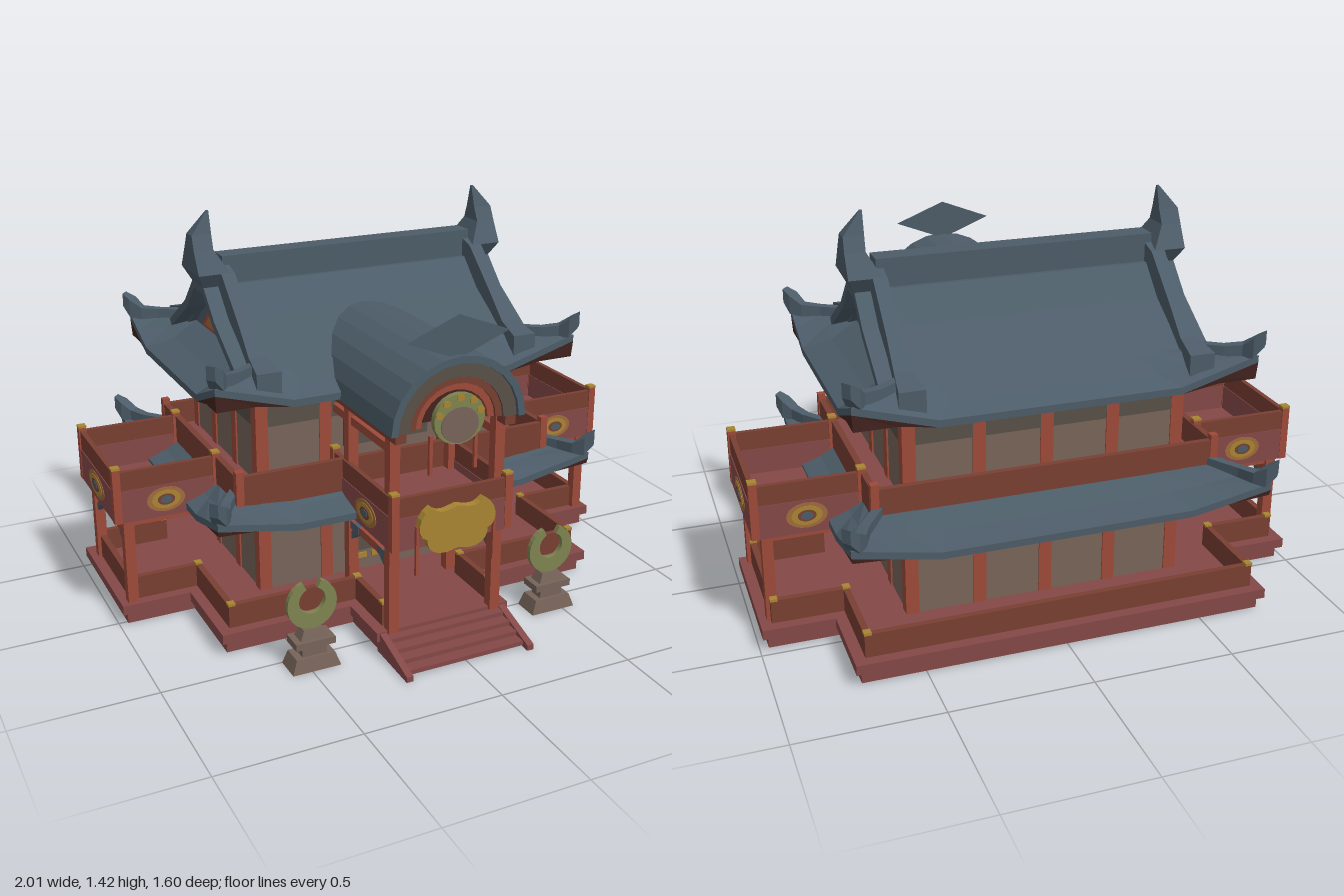
import * as THREE from 'three';

const mat = (name, color, side = THREE.FrontSide) => {
  const m = new THREE.MeshStandardMaterial({ color, side });
  m.name = name;
  return m;
};
const slate = mat('slate', 0x4c5c68, THREE.DoubleSide), red = mat('red timber', 0x9c4a3a);
const plum = mat('plum red', 0x854848), brown = mat('red brown', 0x793f32);
const dark = mat('dark eaves', 0x42241f), taupe = mat('taupe plaster', 0x776459);
const shade = mat('dark plaster', 0x585047), gold = mat('gold', 0xa88532);
const olive = mat('olive bronze', 0x7f8450), orange = mat('orange panel', 0xa06a3c);
const ZC = -0.2; // centre of the main hall in z
const SIDES = [-1, 1];

export function createModel() {
  const root = new THREE.Group();
  root.name = 'templeHall';
  const add = (name, geo, m) => {
    const mesh = new THREE.Mesh(geo, m);
    mesh.name = name;
    root.add(mesh);
  };
  // box given by its extents
  const box = (name, m, x0, x1, y0, y1, z0, z1) => {
    const g = new THREE.BoxGeometry(Math.abs(x1 - x0), y1 - y0, Math.abs(z1 - z0));
    add(name, g.translate((x0 + x1) / 2, (y0 + y1) / 2, (z0 + z1) / 2), m);
  };
  // quads between successive rings of points
  const loft = (rings, caps = false) => {
    const pos = [], n = rings[0].length;
    const tri = (...p) => p.forEach(v => pos.push(...v));
    for (let r = 0; r + 1 < rings.length; r++) for (let i = 0; i < n; i++) {
      const j = (i + 1) % n, a = rings[r], b = rings[r + 1];
      tri(a[i], b[i], b[j]);
      tri(a[i], b[j], a[j]);
    }
    if (caps) {
      const a = rings[0], b = rings[rings.length - 1];
      tri(a[0], a[1], a[2]); tri(a[0], a[2], a[3]);
      tri(b[0], b[2], b[1]); tri(b[0], b[3], b[2]);
    }
    const g = new THREE.BufferGeometry();
    g.setAttribute('position', new THREE.Float32BufferAttribute(pos, 3));
    g.computeVertexNormals();
    return g;
  };
  // bar along points [x, y, z, width, height]
  const bar = (name, pts, m) => add(name, loft(pts.map(([x, y, z, w, h], i) => {
    const a = pts[Math.max(i - 1, 0)], b = pts[Math.min(i + 1, pts.length - 1)];
    const dx = b[0] - a[0], dz = b[2] - a[2], l = Math.hypot(dx, dz);
    const sx = -dz / l * w / 2, sz = dx / l * w / 2;
    return [[x - sx, y - h / 2, z - sz], [x + sx, y - h / 2, z + sz],
      [x + sx, y + h / 2, z + sz], [x - sx, y + h / 2, z - sz]];
  }), true), m);
  // horizontal slab from a plan of [x, z] points
  const toShape = pts => new THREE.Shape(pts.map(([x, z]) => new THREE.Vector2(x, -z)));
  const slab = (name, m, pts, y0, y1, hole) => {
    const s = toShape(pts);
    if (hole) s.holes.push(toShape(hole));
    const g = new THREE.ExtrudeGeometry(s, { depth: y1 - y0, bevelEnabled: false });
    add(name, g.rotateX(-Math.PI / 2).translate(0, y0, 0), m);
  };
  // low wall along a plan polyline
  const rail = (name, m, pts, y0, y1, t = 0.022) => {
    for (let i = 0; i + 1 < pts.length; i++) {
      const [a, b] = [pts[i], pts[i + 1]];
      box(name, m, Math.min(a[0], b[0]) - t / 2, Math.max(a[0], b[0]) + t / 2, y0, y1,
        Math.min(a[1], b[1]) - t / 2, Math.max(a[1], b[1]) + t / 2);
    }
  };
  const rect = (hx, hz, zc = ZC) => [[-hx, zc + hz], [hx, zc + hz], [hx, zc - hz], [-hx, zc - hz]];
  const post = (name, x, z, y0, y1, w = 0.038, m = red) => box(name, m, x - w / 2, x + w / 2, y0, y1, z - w / 2, z + w / 2);
  // oval plate, turned about y
  const oval = (name, m, x, y, z, rx, ry, turn = 0, t = 0.006) => {
    const g = new THREE.CylinderGeometry(1, 1, t, 20).rotateX(Math.PI / 2).scale(rx, ry, 1);
    add(name, g.rotateY(turn).translate(x, y, z), m);
  };

  // Base: cross-shaped plan with open middle
  const plan = e => {
    const p = [[0.24, 0.58], [0.24, 0.365], [0.72, 0.365], [0.72, 0.02], [0.97, 0.02], [0.97, -0.465], [0.72, -0.465], [0.72, -0.768]]
      .map(([x, z]) => [x + e, z > -0.2 ? z + e : z - e]);
    return [...p, ...p.slice().reverse().map(([x, z]) => [-x, z])];
  };
  slab('baseSlab', plum, plan(0), 0.01, 0.055, rect(0.47, 0.31));
  slab('baseFloor', plum, plan(0.02), 0.055, 0.09, rect(0.47, 0.31));
  rail('lowParapet', brown, plan(-0.03), 0.09, 0.175);
  for (const [x, z] of plan(-0.03)) post('parapetCap', x, z, 0.172, 0.182, 0.026, gold);

  // Front steps: open treads between two stringers
  for (let i = 0; i < 4; i++) box('step', plum, -0.225, 0.225, 0.012 + i * 0.016, 0.028 + i * 0.016, 0.715 - i * 0.045, 0.77 - i * 0.045);
  for (const s of SIDES) bar('stepSide', [[s * 0.235, 0.05, 0.58, 0.025, 0.08], [s * 0.235, 0.015, 0.8, 0.025, 0.02]], plum);

  // Hall walls, bands and pillars
  slab('hallWalls', taupe, rect(0.5, 0.335), 0.02, 0.83, rect(0.48, 0.315));
  slab('upperWallBand', shade, rect(0.504, 0.339), 0.72, 0.82, rect(0.49, 0.325));
  slab('lowerWallBand', shade, rect(0.504, 0.339), 0.34, 0.42, rect(0.49, 0.325));
  slab('hallCeiling', dark, rect(0.49, 0.32), 0.5, 0.52);
  for (const x of [-0.483, -0.24, 0, 0.24, 0.483]) {
    if (x) post('frontPillar', x, 0.117, 0.09, 0.82, 0.046);
    post('rearPillar', x, -0.517, 0.09, 0.82, 0.046);
  }
  for (const s of SIDES) for (const z of [0.117, -0.09, -0.31, -0.517]) post('sidePillar', s * 0.483, z, 0.09, 0.82, 0.046);
  box('lowerDoor', shade, -0.145, 0.145, 0.17, 0.34, 0.13, 0.145);
  box('upperDoor', shade, -0.17, 0.17, 0.6, 0.74, 0.13, 0.145);
  for (const x of [-0.1, -0.035, 0.035, 0.1]) box('doorFitting', gold, x - 0.022, x + 0.022, 0.135, 0.155, 0.13, 0.142);
  box('doorLantern', gold, -0.012, 0.012, 0.62, 0.71, 0.145, 0.152);

  // Eave skirts: upswept slate ring with dark soffit
  const skirt = (name, inX, inZ, inY, outX, outZ, mid, lift, flat, wallY) => {
    const n = 10;
    const ring = (hx, hz, fy) => {
      const pts = [], c = rect(hx, hz);
      for (let k = 0; k < 4; k++) for (let i = 0; i < n; i++) {
        const f = i / n, a = c[k], b = c[(k + 1) % 4];
        const u = Math.max(0, (Math.abs(2 * f - 1) - 0.6) / 0.4);
        pts.push([a[0] + (b[0] - a[0]) * f, fy(u), a[1] + (b[1] - a[1]) * f]);
      }
      return pts;
    };
    const eave = u => mid + lift * u;
    const edge = ring(outX, outZ, u => eave(u) - 0.025);
    const mx = (inX + outX) / 2, mz = (inZ + outZ) / 2;
    add(name, loft([ring(inX, inZ, () => inY), ring(mx, mz, u => (inY + eave(u)) / 2 - 0.008), ring(outX, outZ, eave), edge]), slate);
    add(name + 'Soffit', loft([edge, ring(outX - 0.004, outZ - 0.004, u => Math.min(flat, eave(u) - 0.026)),
      ring(0.49, 0.325, () => wallY)]), dark);
    // corner ridges ending in upturned horns
    for (const sx of SIDES) for (const sz of SIDES) {
      const p = (x, y, z, w, h) => [sx * x, y, ZC + sz * z, w, h];
      bar(name + 'CornerHorn', [p(inX, inY + 0.01, inZ, 0.03, 0.03), p(mx, (inY + eave(1)) / 2 + 0.008, mz, 0.032, 0.035),
        p(outX - 0.04, eave(1) + 0.012, outZ - 0.04, 0.04, 0.045), p(outX - 0.01, eave(1) + 0.03, outZ - 0.01, 0.055, 0.07),
        p(outX + 0.015, eave(1) + 0.06, outZ + 0.01, 0.035, 0.05)], slate);
    }
  };
  skirt('lowerRoof', 0.6, 0.375, 0.51, 0.738, 0.575, 0.445, 0.055, 0.455, 0.41);
  skirt('upperRoof', 0.5, 0.36, 0.95, 0.7, 0.49, 0.865, 0.08, 0.86, 0.81);

  // Upper roof: overhanging shell above recessed gable walls
  const half = [[0.36, 0.945], [0.16, 1.07], [0.06, 1.17]];
  const mirror = pts => [...pts, ...pts.map(([x, y]) => [-x, y]).reverse()];
  const prism = (name, pts, hx, m) => add(name, new THREE.ExtrudeGeometry(
    new THREE.Shape(pts.map(p => new THREE.Vector2(...p))), { depth: 2 * hx, bevelEnabled: false })
    .translate(0, 0, -hx).rotateY(Math.PI / 2).translate(0, 0, ZC), m);
  prism('gableRoof', [...mirror(half), ...mirror(half.map(([x, y]) => [x - 0.015, y - 0.025])).reverse()], 0.58, slate);
  prism('gableWall', mirror(half.map(([x, y]) => [x - 0.008, y - 0.012])), 0.5, slate);
  prism('gableFrame', [[-0.2, 0.955], [0.2, 0.955], [0, 1.14]], 0.504, red);
  prism('gablePanel', [[-0.155, 0.968], [0.155, 0.968], [0, 1.105]], 0.508, orange);
  box('ridgeCap', slate, -0.5, 0.5, 1.14, 1.27, ZC - 0.042, ZC + 0.042);
  for (const s of SIDES) {
    for (const d of SIDES) bar('bargeRidge', [[0, 1.19, 0.05, 0.12], [0.1, 1.16, 0.05, 0.12], [0.26, 1.02, 0.05, 0.11], [0.36, 0.945, 0.06, 0.09], [0.47, 0.925, 0.09, 0.08]]
      .map(([o, y, w, h]) => [s * 0.5, y, ZC + d * o, w, h]), slate);
    // ridge end horn, from tip down
    add('ridgeHorn', loft([[1.43, 0.535, 0.004, 0.004], [1.35, 0.568, 0.036, 0.028], [1.3, 0.57, 0.036, 0.05],
      [1.22, 0.548, 0.058, 0.095], [1.15, 0.525, 0.045, 0.05]].map(([y, x, w, d]) =>
      [[s * x - w, y, ZC + d], [s * x + w, y, ZC + d], [s * x + w, y, ZC - d], [s * x - w, y, ZC - d]]), true), slate);
  }

  // Upper gallery around the hall, deeper at the front
  const gallery = rect(0.612, 0.408, -0.165);
  slab('galleryFloor', plum, gallery, 0.485, 0.51);
  rail('galleryParapet', brown, [...gallery, gallery[0]], 0.47, 0.6);
  for (const [x, z] of gallery) post('galleryPost', x, z, 0.47, 0.62, 0.028);

  // Tray-shaped balcony with gold-capped corner posts
  const balcony = (name, pts, x0, x1, z0, z1, floorY) => {
    box(name + 'Floor', plum, x0, x1, 0.412, floorY, z0, z1);
    rail(name + 'Fascia', plum, pts, 0.41, 0.53, 0.024);
    rail(name + 'Rail', brown, pts, 0.53, 0.6, 0.018);
    for (const [x, z] of pts) {
      post(name + 'Post', x, z, 0.41, 0.612, 0.028);
      post(name + 'PostCap', x, z, 0.612, 0.62, 0.03, gold);
    }
  };
  const medallion = (x, y, z, r, turn, dx, dz) => [[orange, 1], [gold, 0.75], [brown, 0.45], [slate, 0.3]].forEach(([m, k], i) =>
    oval('medallion', m, x + dx * i * 0.002, y, z + dz * i * 0.002, r * k, 0.046 * k, turn));
  for (const s of SIDES) {
    const X = s * 0.983;
    balcony('wingBalcony', [[s * 0.62, 0.025], [X, 0.025], [X, -0.427], [s * 0.62, -0.427]], s * 0.6, X, -0.427, 0.025, 0.435);
    medallion(s * 0.994, 0.47, ZC, 0.105, Math.PI / 2, s, 0);
    medallion(s * 0.81, 0.475, 0.036, 0.07, 0, 0, 1);
    medallion(s * 0.81, 0.475, -0.438, 0.07, 0, 0, -1);
    medallion(s * 0.229, 0.475, 0.45, 0.08, Math.PI / 2, s, 0);
    for (const z of [0.005, -0.405]) {
      post('wingPost', s * 0.945, z, 0.09, 0.42);
      box('wingBeam', red, s * 0.5, s * 0.945, 0.385, 0.41, z - 0.01, z + 0.01);
      const d = z > ZC ? -1 : 1;
      bar('wingBrace', [[s * 0.945, 0.3, z + d * 0.02, 0.02, 0.03], [s * 0.945, 0.345, z + d * 0.08, 0.02, 0.03]], slate);
    }
    box('wingSideBeam', red, s * 0.935, s * 0.955, 0.34, 0.37, -0.405, 0.005);
    // porch posts and beams
    for (const z of [0.59, 0.27]) post('porchPost', s * 0.2, z, 0.08, 0.84);
    box('porchUpperBeam', red, s * 0.19, s * 0.21, 0.74, 0.77, 0.12, 0.59);
    box('porchLowerBeam', red, s * 0.19, s * 0.21, 0.345, 0.375, 0.12, 0.59);
    for (const [z, d] of [[0.575, -1], [0.285, 1]]) {
      box('beamPlate', slate, s * 0.187, s * 0.213, 0.345, 0.375, z, z + d * 0.07);
      bar('porchBrace', [[s * 0.2, 0.315, z, 0.02, 0.03], [s * 0.2, 0.355, z + d * 0.06, 0.02, 0.03]], slate);
    }
    box('porchEaveBeam', brown, s * 0.185, s * 0.225, 0.8, 0.845, 0.12, 0.66);
    box('archTassel', red, s * 0.085 - 0.006, s * 0.085 + 0.006, 0.66, 0.8, 0.632, 0.644);
    box('plaqueTassel', red, s * 0.148 - 0.005, s * 0.148 + 0.005, 0.32, 0.5, 0.664, 0.676);
  }
  balcony('porchBalcony', [[-0.217, 0.17], [-0.217, 0.637], [0.217, 0.637], [0.217, 0.17]], -0.217, 0.217, 0.14, 0.637, 0.5);

  // Gold cloud plaque on the porch
  const cloud = new THREE.Shape();
  cloud.moveTo(0, 0.4);
  [[0.09, 0.37, 0.12, 0.42, 0.115, 0.45], [0.16, 0.46, 0.155, 0.54, 0.1, 0.565], [0.07, 0.53, 0.04, 0.545, 0, 0.555],
    [-0.04, 0.545, -0.07, 0.53, -0.1, 0.565], [-0.155, 0.54, -0.16, 0.46, -0.115, 0.45], [-0.12, 0.42, -0.09, 0.37, 0, 0.4]]
    .forEach(p => cloud.bezierCurveTo(...p));
  add('cloudPlaque', new THREE.ExtrudeGeometry(cloud, { depth: 0.03, bevelEnabled: false, curveSegments: 6 }).translate(0, 0, 0.655), gold);

  // Barrel roof over the porch
  const arch = (name, m, ro, ri, z0, z1) => {
    const arc = r => Array.from({ length: 13 }, (_, i) => new THREE.Vector2(r * Math.cos(i * Math.PI / 12), 0.835 + (r - 0.01) * Math.sin(i * Math.PI / 12)));
    const pts = ri ? [...arc(ro), ...arc(ri).reverse()] : arc(ro);
    add(name, new THREE.ExtrudeGeometry(new THREE.Shape(pts), { depth: z1 - z0, bevelEnabled: false }).translate(0, 0, z0), m);
  };
  arch('barrelRoof', slate, 0.25, 0.225, -0.08, 0.68);
  arch('barrelLining', shade, 0.226, 0.175, 0.1, 0.665);
  arch('archTrim', brown, 0.177, 0.15, 0.58, 0.655);
  arch('archInnerTrim', red, 0.152, 0.125, 0.58, 0.645);
  arch('archPanel', dark, 0.18, 0, 0.57, 0.6);
  oval('archOrnament', olive, 0, 0.86, 0.668, 0.095, 0.088, 0, 0.022);
  oval('archOrnamentCentre', taupe, 0, 0.84, 0.68, 0.07, 0.062);
  for (const a of [0.3, 0.9, 1.57, 2.24, 2.84]) oval('archStud', gold, 0.08 * Math.cos(a), 0.86 + 0.075 * Math.sin(a), 0.681, 0.014, 0.012);
  const diamond = [[-0.19, 1.135], [0, 1.06], [0.19, 1.135], [0, 1.21]].map(p => new THREE.Vector2(...p));
  add('roofDiamond', new THREE.ShapeGeometry(new THREE.Shape(diamond)).translate(0, 0, 0.66), slate);

  // Open-ring ornaments on stone pedestals
  for (const x of [-0.483, 0.46]) {
    for (const [hw, hd, y0, y1, k] of [[0.088, 0.05, 0.005, 0.055, 0.8], [0.045, 0.028, 0.055, 0.09, 1], [0.072, 0.042, 0.09, 0.115, 1], [0.05, 0.03, 0.115, 0.15, 0.7]]) {
      const g = new THREE.CylinderGeometry(k * Math.SQRT2, Math.SQRT2, y1 - y0, 4).toNonIndexed().rotateY(Math.PI / 4);
      g.scale(hw, 1, hd).computeVertexNormals();
      add('pedestal', g.translate(x, (y0 + y1) / 2, 0.55), taupe);
    }
    // crescent, narrowing towards the open top
    const c = new THREE.Shape();
    c.absarc(0, 0, 0.09, Math.PI * 0.62, Math.PI * 2.38, false);
    c.absarc(0, 0.014, 0.048, Math.PI * 2.36, Math.PI * 0.64, true);
    add('openRing', new THREE.ExtrudeGeometry(c, { depth: 0.02, bevelEnabled: false }).translate(x, 0.24, 0.545), olive);
  }
  return root;
}
